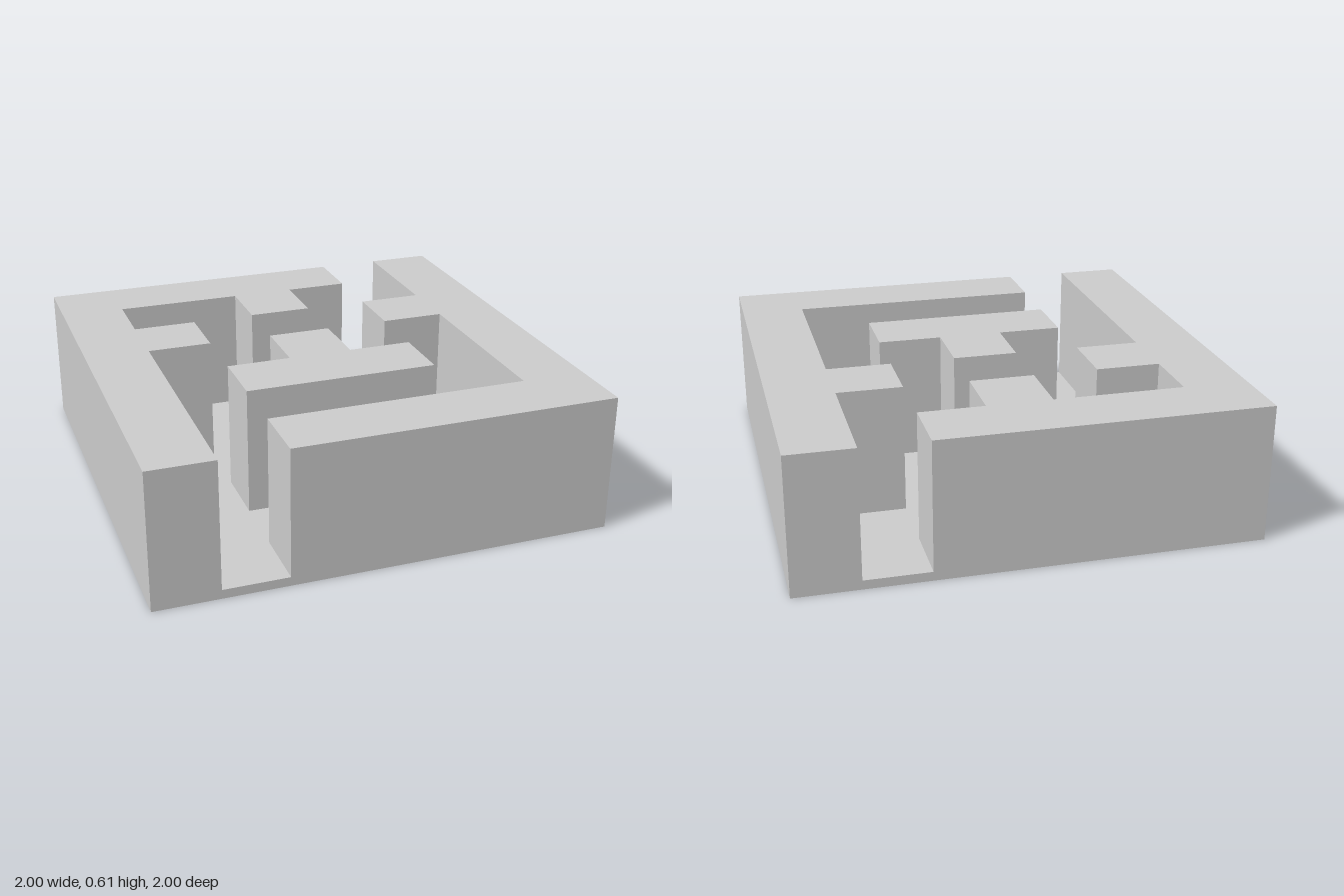
import * as THREE from 'three';

const HEIGHT = 0.61;
const FLOOR = 0.04;
const CELLS = 7;

// Grid corner [column, row] (row 0 at the back) to plan coordinates
const toPlan = ([c, r]) => new THREE.Vector2(-1 + (2 * c) / CELLS, 1 - (2 * r) / CELLS);

export function createModel() {
  const group = new THREE.Group();
  group.name = 'maze';
  const material = new THREE.MeshStandardMaterial({ color: 0xcccccc, flatShading: true });

  // Extrudes a plan outline upward from the ground
  function addBlock(name, outline, height, hole) {
    const shape = new THREE.Shape(outline.map(toPlan));
    if (hole) shape.holes.push(new THREE.Path(hole.map(toPlan)));
    const geometry = new THREE.ExtrudeGeometry(shape, { depth: height, bevelEnabled: false });
    geometry.rotateX(-Math.PI / 2);
    const mesh = new THREE.Mesh(geometry, material);
    mesh.name = name;
    group.add(mesh);
  }

  // Corridor sides, both traced from the back exit to the front entrance
  const rightSide = [
    [5, 0], [5, 1], [4, 1], [4, 2], [3, 2], [3, 1], [1, 1],
    [1, 2], [2, 2], [2, 3], [1, 3], [1, 7],
  ];
  const leftSide = [
    [6, 0], [6, 2], [5, 2], [5, 3], [6, 3], [6, 6], [2, 6], [2, 7],
  ];
  const island = [
    [3, 3], [4, 3], [4, 4], [5, 4], [5, 5], [2, 5], [2, 4], [3, 4],
  ];

  addBlock('rightAndBackWall', [...rightSide, [0, 7], [0, 0]], HEIGHT);
  addBlock('leftAndFrontWall', [...leftSide, [7, 7], [7, 0]], HEIGHT);
  addBlock('centreIsland', island, HEIGHT);

  // Thin floor filling the corridor between the walls
  addBlock('corridorFloor', [...rightSide, ...leftSide.slice().reverse()], FLOOR, island);

  return group;
}
